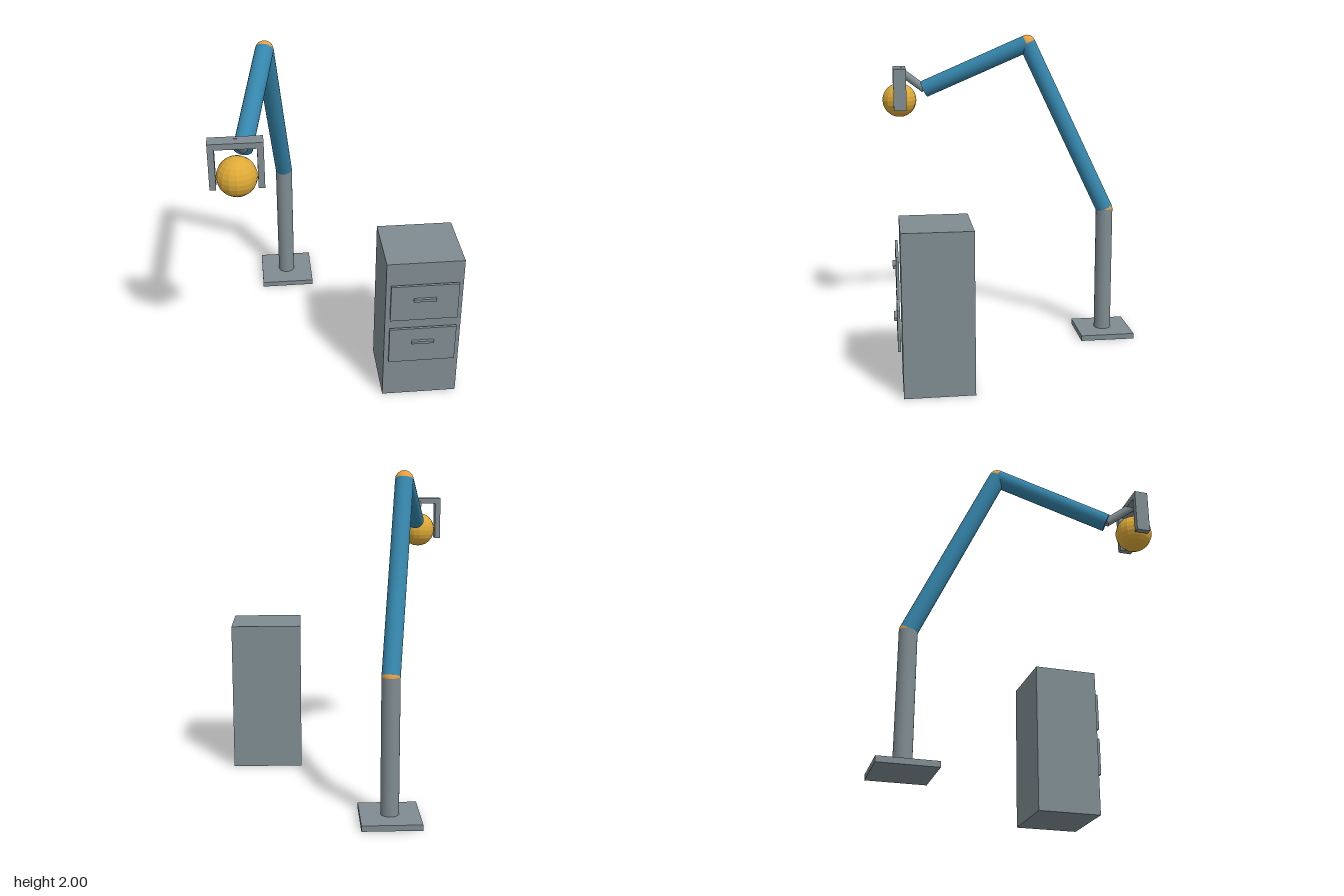
import * as THREE from 'three';

const material = (name, color) => {
  const m = new THREE.MeshStandardMaterial({ color });
  m.name = name;
  return m;
};

export function createModel() {
  const model = new THREE.Group();
  const grey = material('steel grey', 0x7f8c91);
  const blue = material('arm blue', 0x3585ab);
  const orange = material('joint orange', 0xe6a144);
  const gold = material('ball gold', 0xdeaa38);

  const add = (parent, name, geometry, mat) => {
    const mesh = new THREE.Mesh(geometry, mat);
    mesh.name = name;
    parent.add(mesh);
    return mesh;
  };

  // Box given by its minimum and maximum corners
  const box = (parent, name, a, b) => {
    const size = b.map((v, i) => v - a[i]);
    add(parent, name, new THREE.BoxGeometry(...size), grey)
      .position.set(...a.map((v, i) => v + size[i] / 2));
  };

  // Cylinder running between two points
  const rod = (parent, name, from, to, radius, mat) => {
    const dir = to.clone().sub(from);
    const mesh = add(parent, name, new THREE.CylinderGeometry(radius, radius, dir.length(), 24), mat);
    mesh.position.copy(from).addScaledVector(dir, 0.5);
    mesh.quaternion.setFromUnitVectors(new THREE.Vector3(0, 1, 0), dir.normalize());
  };

  const ball = (parent, name, center, radius, mat, sides) => {
    const geometry = new THREE.SphereGeometry(radius, sides, sides * 0.75).toNonIndexed();
    geometry.computeVertexNormals(); // faceted normals
    add(parent, name, geometry, mat).position.copy(center);
  };

  // Robot arm: plate, post, two arm sections and their joints
  const arm = new THREE.Group();
  arm.name = 'robotArm';
  model.add(arm);
  const r = 0.055;
  const foot = new THREE.Vector3(-0.257, 0.035, -0.635);
  const shoulder = new THREE.Vector3(-0.257, 0.86, -0.635);
  const elbow = new THREE.Vector3(-0.373, 1.945, -0.13);
  const wrist = new THREE.Vector3(-0.525, 1.645, 0.533);
  const grip = new THREE.Vector3(-0.5625, 1.767, 0.698);
  box(arm, 'basePlate', [-0.433, 0, -0.812], [-0.08, 0.035, -0.458]);
  rod(arm, 'post', foot, shoulder, r, grey);
  rod(arm, 'upperArm', shoulder, elbow, r, blue);
  rod(arm, 'forearm', elbow, wrist, r, blue);
  ball(arm, 'shoulderJoint', shoulder, r, orange, 24);
  ball(arm, 'elbowJoint', elbow, r, orange, 24);
  rod(arm, 'wristRod', wrist, grip, 0.026, grey);

  // Gripper: crossbar with two fingers around the ball
  const gripper = new THREE.Group();
  gripper.name = 'gripper';
  arm.add(gripper);
  box(gripper, 'crossbar', [-0.71, 1.75, 0.655], [-0.415, 1.785, 0.738]);
  for (const x of [-0.71, -0.45]) {
    box(gripper, 'finger', [x, 1.513, 0.655], [x + 0.035, 1.75, 0.738]);
  }
  ball(gripper, 'heldBall', new THREE.Vector3(-0.5625, 1.57, 0.698), 0.112, gold, 16);

  // Cabinet with two drawer fronts and handles
  const cabinet = new THREE.Group();
  cabinet.name = 'cabinet';
  model.add(cabinet);
  box(cabinet, 'cabinetBody', [0.255, 0, 0.322], [0.71, 0.967, 0.733]);
  for (const y of [0.273, 0.582]) {
    box(cabinet, 'drawerFront', [0.282, y, 0.743], [0.682, y + 0.243, 0.759]);
    box(cabinet, 'drawerHandle', [0.415, y + 0.14, 0.759], [0.548, y + 0.157, 0.776]);
  }
  return model;
}
